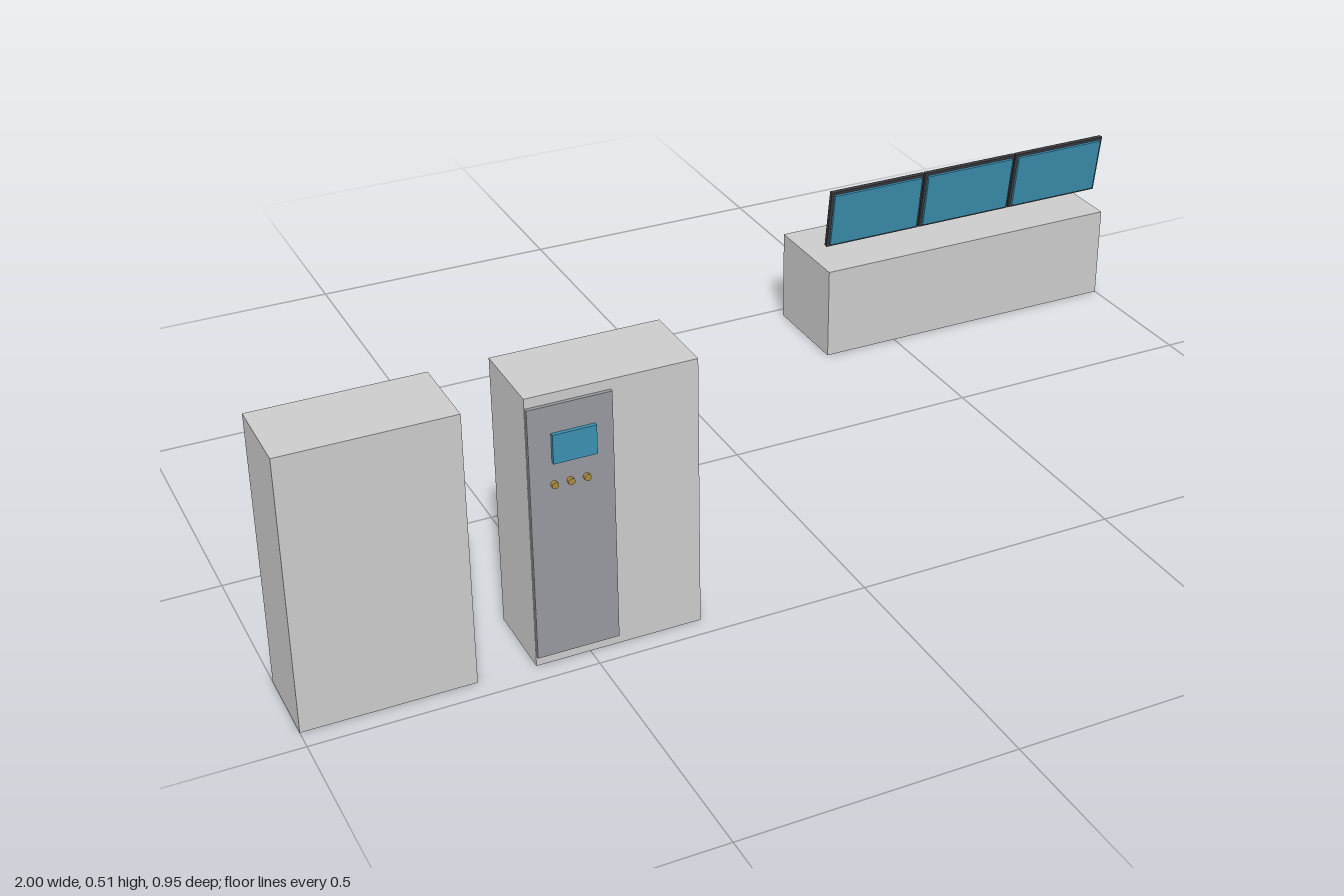
import * as THREE from 'three';

const material = (color) => new THREE.MeshStandardMaterial({ color });

export function createModel() {
  const model = new THREE.Group();
  const grey = material(0xcccccc);
  const doorGrey = material(0x96999e);
  const dark = material(0x3c3c40);
  const blue = material(0x3a8fb0);
  const amber = material(0xa88a3c);

  // Box given by its min and max corners
  function block(name, [x0, y0, z0], [x1, y1, z1], mat, parent = model) {
    const mesh = new THREE.Mesh(new THREE.BoxGeometry(x1 - x0, y1 - y0, z1 - z0), mat);
    mesh.position.set((x0 + x1) / 2, (y0 + y1) / 2, (z0 + z1) / 2);
    mesh.name = name;
    parent.add(mesh);
    return mesh;
  }

  // Two tall cabinets
  block('plainCabinet', [-1, 0, 0.311], [-0.7, 0.506, 0.461], grey);
  block('controlCabinet', [-0.597, 0, 0.311], [-0.297, 0.506, 0.461], grey);

  // Control door with display and a row of buttons
  block('controlDoor', [-0.596, 0.019, 0.461], [-0.45, 0.488, 0.468], doorGrey);
  block('controlDisplay', [-0.557, 0.385, 0.466], [-0.481, 0.438, 0.475], blue);
  for (let i = 0; i < 3; i++) {
    const button = new THREE.Mesh(new THREE.CylinderGeometry(0.006, 0.006, 0.008, 16), amber);
    button.rotation.x = Math.PI / 2;
    button.position.set(-0.555 + i * 0.028, 0.345, 0.471);
    button.name = 'button' + (i + 1);
    model.add(button);
  }

  // Long low desk
  block('desk', [0.343, 0, -0.475], [1, 0.19, -0.275], grey);

  // Three monitors leaning forward above the desk
  for (let i = 0; i < 3; i++) {
    const monitor = new THREE.Group();
    monitor.name = 'monitor' + (i + 1);
    block('monitorCase', [-0.106, -0.064, -0.004], [0.106, 0.064, 0.004], dark, monitor);
    block('monitorScreen', [-0.1, -0.058, 0.003], [0.1, 0.058, 0.009], blue, monitor);
    monitor.position.set(0.454 + i * 0.215, 0.3, -0.293);
    monitor.rotation.x = 0.15;
    model.add(monitor);
  }

  return model;
}
